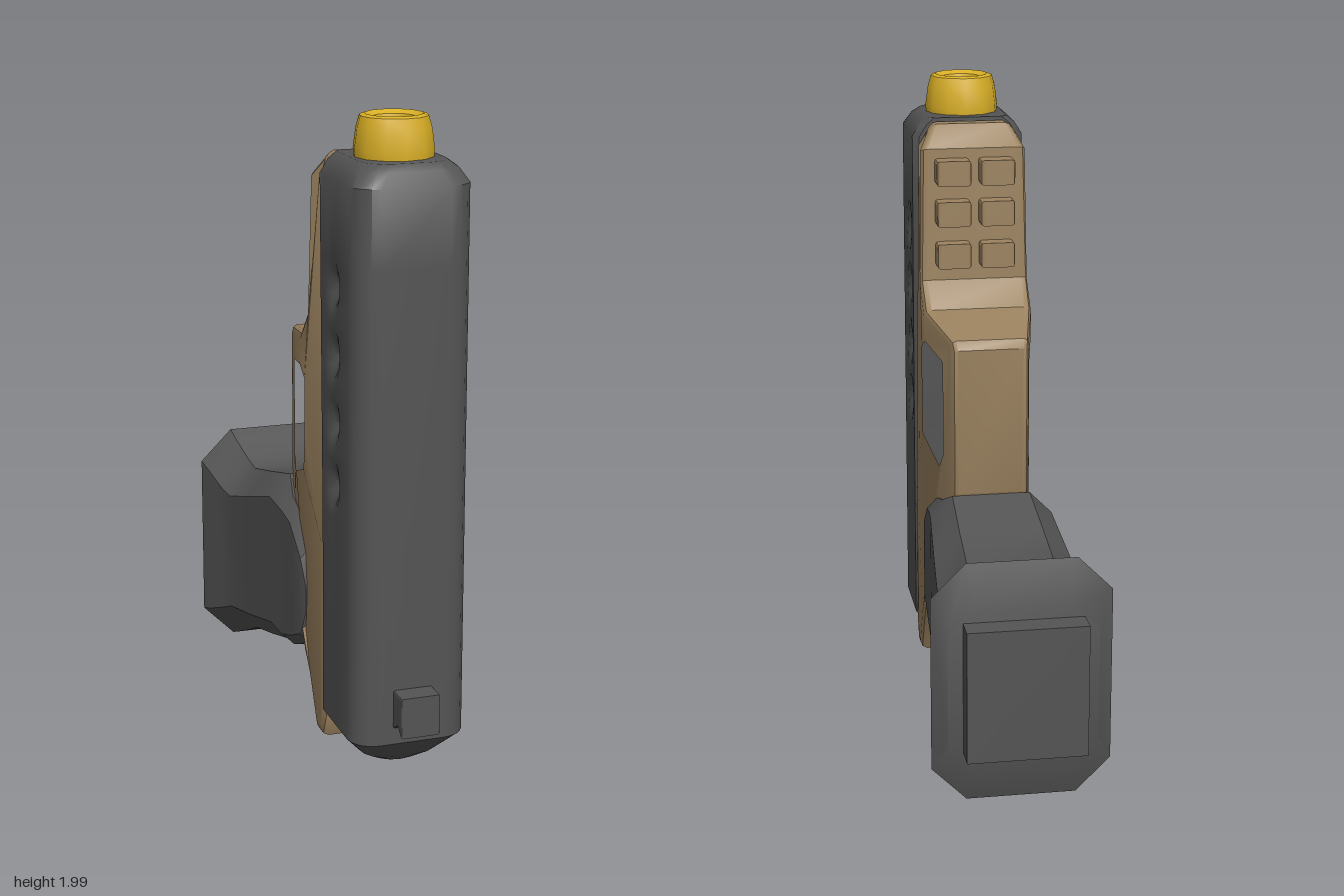
import * as THREE from 'three';
import { toCreasedNormals } from 'three/addons/utils/BufferGeometryUtils.js';

const mat = (name, color) => {
  const m = new THREE.MeshStandardMaterial({ color });
  m.name = name;
  return m;
};

// Skin a list of equal-length closed rings and cap both ends
function loft(rings, crease = 0.6) {
  const n = rings[0].length, pos = [], idx = [];
  rings.forEach(r => r.forEach(p => pos.push(...p)));
  for (let i = 0; i < rings.length - 1; i++) {
    for (let j = 0; j < n; j++) {
      const a = i * n + j, b = i * n + (j + 1) % n;
      idx.push(a, b, b + n, a, b + n, a + n);
    }
  }
  [0, rings.length - 1].forEach((r, end) => {
    const c = pos.length / 3;
    pos.push(...[0, 1, 2].map(k => rings[r].reduce((s, p) => s + p[k], 0) / n));
    for (let j = 0; j < n; j++) {
      const a = r * n + j, b = r * n + (j + 1) % n;
      end ? idx.push(a, b, c) : idx.push(b, a, c);
    }
  });
  // Turn all faces outward
  let vol = 0;
  const v = i => new THREE.Vector3().fromArray(pos, i * 3);
  for (let i = 0; i < idx.length; i += 3) vol += v(idx[i]).dot(v(idx[i + 1]).cross(v(idx[i + 2])));
  if (vol < 0) idx.reverse();
  const g = new THREE.BufferGeometry();
  g.setAttribute('position', new THREE.Float32BufferAttribute(pos, 3));
  g.setIndex(idx);
  return toCreasedNormals(g, crease);
}

// Extrude a side profile of [z, y] points across x, centred, with bevelled edges
function sideExtrude(points, halfWidth, bevel, hole) {
  const vec = pts => pts.map(([z, y]) => new THREE.Vector2(-z, y));
  const shape = new THREE.Shape(vec(points));
  if (hole) shape.holes.push(new THREE.Path(vec(hole)));
  const g = new THREE.ExtrudeGeometry(shape, {
    depth: 2 * (halfWidth - bevel), bevelEnabled: true, bevelSegments: 2,
    bevelThickness: bevel, bevelSize: bevel, bevelOffset: -bevel,
  });
  return g.translate(0, 0, bevel - halfWidth).rotateY(Math.PI / 2);
}

// Slide: rounded section along y, with four shallow dimples per side
function slideGeometry() {
  const dimples = [0.92, 1.11, 1.31, 1.51];
  const rows = [[0.07, 0.1], [0.1, 0.06], [0.17, 0], [0.5, 0]];
  for (let y = 0.82; y < 1.62; y += 0.035) rows.push([y, 0]);
  rows.push([1.82, 0], [1.86, 0.025], [1.88, 0.05]);
  const rings = rows.map(([y, inset]) => {
    const w = 0.178 - inset, z1 = 0.72 - inset, r = 0.075;
    const z0 = THREE.MathUtils.mapLinear(Math.min(Math.max(y, 0.7), 1.85), 0.7, 1.85, 0.395, 0.37);
    const half = [];
    for (let i = 0; i <= 4; i++) {
      const a = i / 4 * Math.PI / 2;
      half.push([w - r + r * Math.sin(a), z1 - r + r * Math.cos(a)]);
    }
    [0.56, 0.54, 0.52, 0.5, 0.48, 0.46, 0.435].forEach(z => {
      const dent = dimples.reduce((s, d) => s + Math.exp(-(((y - d) / 0.042) ** 2 + ((z - 0.51) / 0.035) ** 2)), 0);
      half.push([w - 0.035 * dent, z]);
    });
    half.push([w, z0 + 0.02], [w - 0.02, z0]);
    return [...half.map(([x, z]) => [x, y, z]), ...half.reverse().map(([x, z]) => [-x, y, z])];
  });
  return loft(rings, 0.7);
}

// Grip: eight-sided sections along z, given as z, half width, low y, high y, chamfer
function gripGeometry() {
  return loft([
    [0.21, 0.168, 0.38, 0.52, 0.03],
    [0.185, 0.178, 0.3, 0.61, 0.03],
    [0.08, 0.181, 0.25, 0.7, 0.035],
    [0.0, 0.184, 0.22, 0.72, 0.04],
    [-0.1, 0.193, 0.195, 0.765, 0.07],
    [-0.3, 0.209, 0.14, 0.715, 0.08],
    [-0.48, 0.222, 0.095, 0.672, 0.09],
    [-0.54, 0.235, 0.065, 0.69, 0.095],
    [-0.62, 0.258, 0.03, 0.735, 0.1],
    [-0.67, 0.27, 0.01, 0.76, 0.105],
    [-0.71, 0.225, 0.12, 0.63, 0.08],
  ].map(([z, w, lo, hi, c]) => {
    const half = [[w - c, hi], [w, hi - c], [w, lo + c], [w - c, lo]];
    return [...half.map(([x, y]) => [x, y, z]), ...half.reverse().map(([x, y]) => [-x, y, z])];
  }));
}

// Frame with trigger guard, narrowed toward the guard's outer bar and the top end
function frameGeometry() {
  const outline = [
    [0.365, 1.8], [0.355, 1.87], [0.31, 1.87], [0.255, 1.8], [0.24, 1.38], [0.165, 1.3],
    [-0.08, 1.262], [-0.1, 1.235], [-0.1, 0.77], [-0.06, 0.69], [0.02, 0.62],
    [0.16, 0.36], [0.2, 0.28], [0.25, 0.22], [0.325, 0.07], [0.39, 0.07], [0.42, 0.14], [0.41, 0.7],
  ];
  const hole = [
    [0.245, 1.18], [0.17, 1.222], [-0.02, 1.192], [-0.02, 0.86], [0.03, 0.795], [0.23, 0.86], [0.245, 1.0],
  ];
  const g = sideExtrude(outline, 0.174, 0.022, hole);
  const p = g.attributes.position, { clamp } = THREE.MathUtils;
  for (let i = 0; i < p.count; i++) {
    const guard = 1 - 0.33 * clamp((0.18 - p.getZ(i)) / 0.28, 0, 1);
    const tip = 1 - 0.28 * clamp((p.getY(i) - 1.78) / 0.09, 0, 1);
    p.setX(i, p.getX(i) * guard * tip);
  }
  return toCreasedNormals(g, 0.6);
}

export function createModel() {
  const dark = mat('dark grey', 0x545454);
  const tan = mat('tan', 0x9c8360);
  const yellow = mat('yellow', 0xdab026);
  const model = new THREE.Group();
  model.name = 'toyPistol';
  const add = (name, geometry, material, x = 0, y = 0, z = 0) => {
    const m = new THREE.Mesh(geometry, material);
    m.name = name;
    m.position.set(x, y, z);
    model.add(m);
    return m;
  };

  add('slide', slideGeometry(), dark);
  add('frame', frameGeometry(), tan);
  add('grip', gripGeometry(), dark);
  add('gripBasePlate', new THREE.BoxGeometry(0.36, 0.41, 0.1), dark, 0, 0.385, -0.735);

  // Rail teeth in two columns
  for (const y of [1.465, 1.6, 1.73]) {
    for (const side of [-1, 1]) {
      add('railTooth', sideExtrude([[0.27, -0.04], [0.27, 0.04], [0.192, 0.04], [0.192, -0.04]], 0.055, 0.01),
        tan, side * 0.07, y, 0);
    }
  }

  // Trigger
  add('trigger', sideExtrude([[0.27, 0.95], [0.02, 0.99], [0.01, 0.905], [0.13, 0.83], [0.27, 0.83]], 0.055, 0.012), dark);

  // Rear sight
  add('rearSight', sideExtrude([[0.7, 0.21], [0.755, 0.24], [0.79, 0.215], [0.79, 0.34], [0.7, 0.34]], 0.06, 0.006), dark);

  // Muzzle ring with its bore
  const ring = [[0.115, 1.87], [0.118, 1.9], [0.11, 1.96], [0.1, 1.995], [0.085, 2], [0.06, 1.99], [0.05, 1.95]];
  add('muzzleRing', toCreasedNormals(new THREE.LatheGeometry(ring.map(([r, y]) => new THREE.Vector2(r, y)), 12), 0.6),
    yellow, 0, 0, 0.52).material.side = THREE.DoubleSide;
  add('muzzleBore', new THREE.CylinderGeometry(0.053, 0.053, 0.07, 8), dark, 0, 1.925, 0.52);

  return model;
}
